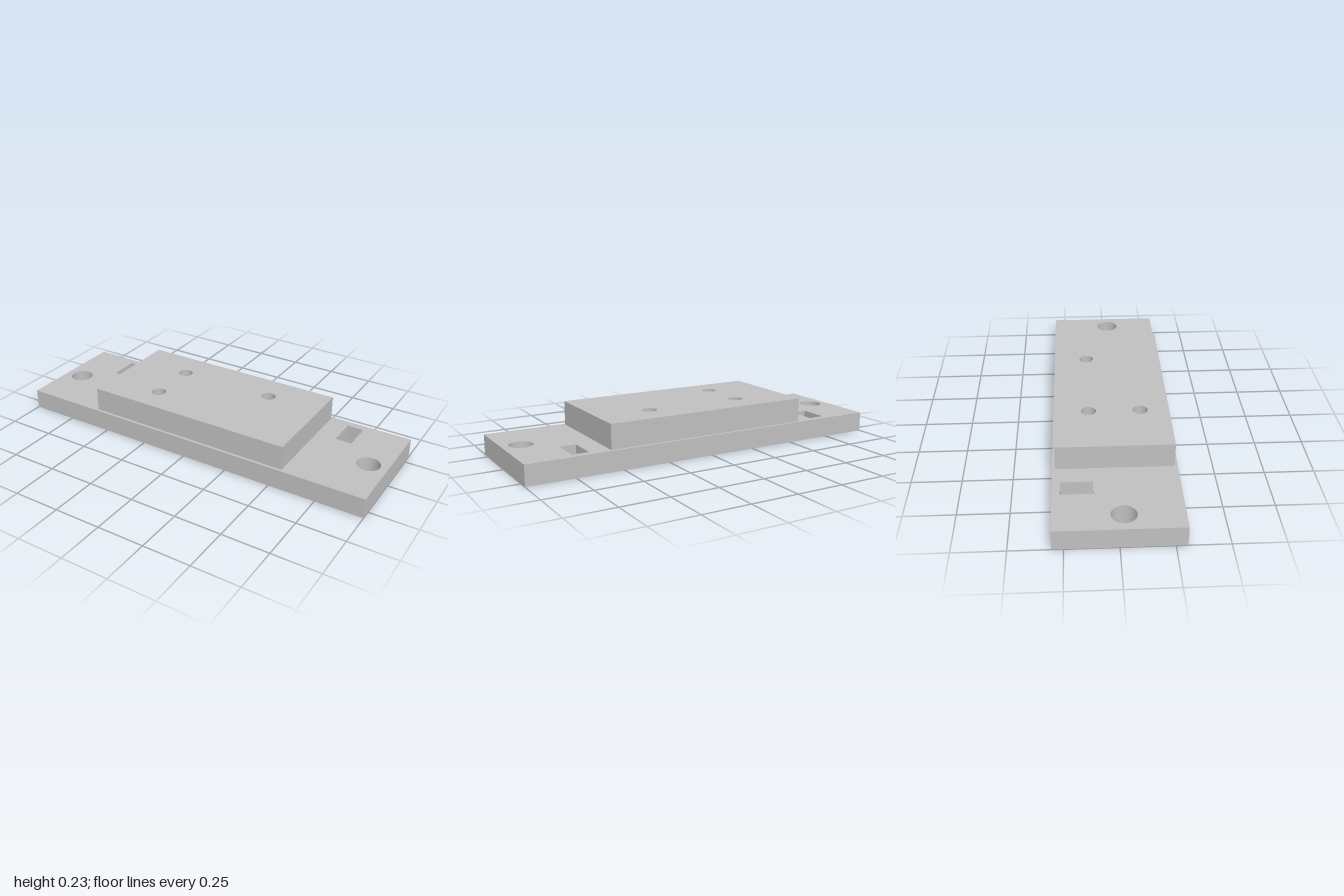
import * as THREE from 'three';

const circle = (x, z, r) => new THREE.Path().absarc(x, -z, r, 0, Math.PI * 2, true);

function rect(target, x0, x1, z0, z1) {
  target.moveTo(x0, -z1);
  target.lineTo(x1, -z1);
  target.lineTo(x1, -z0);
  target.lineTo(x0, -z0);
  target.closePath();
  return target;
}

// Flat plate with holes, lying on y0 and rising to y1
function plate(name, halfX, halfZ, y0, y1, holes, material) {
  const shape = rect(new THREE.Shape(), -halfX, halfX, -halfZ, halfZ);
  shape.holes.push(...holes);
  const geometry = new THREE.ExtrudeGeometry(shape, { depth: y1 - y0, bevelEnabled: false, curveSegments: 40 });
  geometry.rotateX(-Math.PI / 2).translate(0, y0, 0);
  const mesh = new THREE.Mesh(geometry, material);
  mesh.name = name;
  return mesh;
}

export function createModel() {
  const group = new THREE.Group();
  group.name = 'mountingPlate';
  const grey = new THREE.MeshStandardMaterial({ color: 0xc0c0c0 });
  grey.name = 'grey';

  const screws = [[-0.258, -0.12], [0.266, -0.12], [-0.258, 0.142]];

  // Base: end holes, two slots and wide screw recesses
  const baseHoles = [
    circle(-0.901, 0.023, 0.06),
    circle(0.901, 0.023, 0.06),
    rect(new THREE.Path(), -0.753, -0.664, -0.265, -0.11),
    rect(new THREE.Path(), 0.668, 0.755, -0.265, -0.11),
    ...screws.map(([x, z]) => circle(x, z, 0.066)),
  ];
  group.add(plate('basePlate', 1, 0.304, 0, 0.106, baseHoles, grey));

  // Raised block with narrow screw holes
  const blockHoles = screws.map(([x, z]) => circle(x, z, 0.038));
  group.add(plate('raisedBlock', 0.562, 0.289, 0.106, 0.234, blockHoles, grey));

  return group;
}
